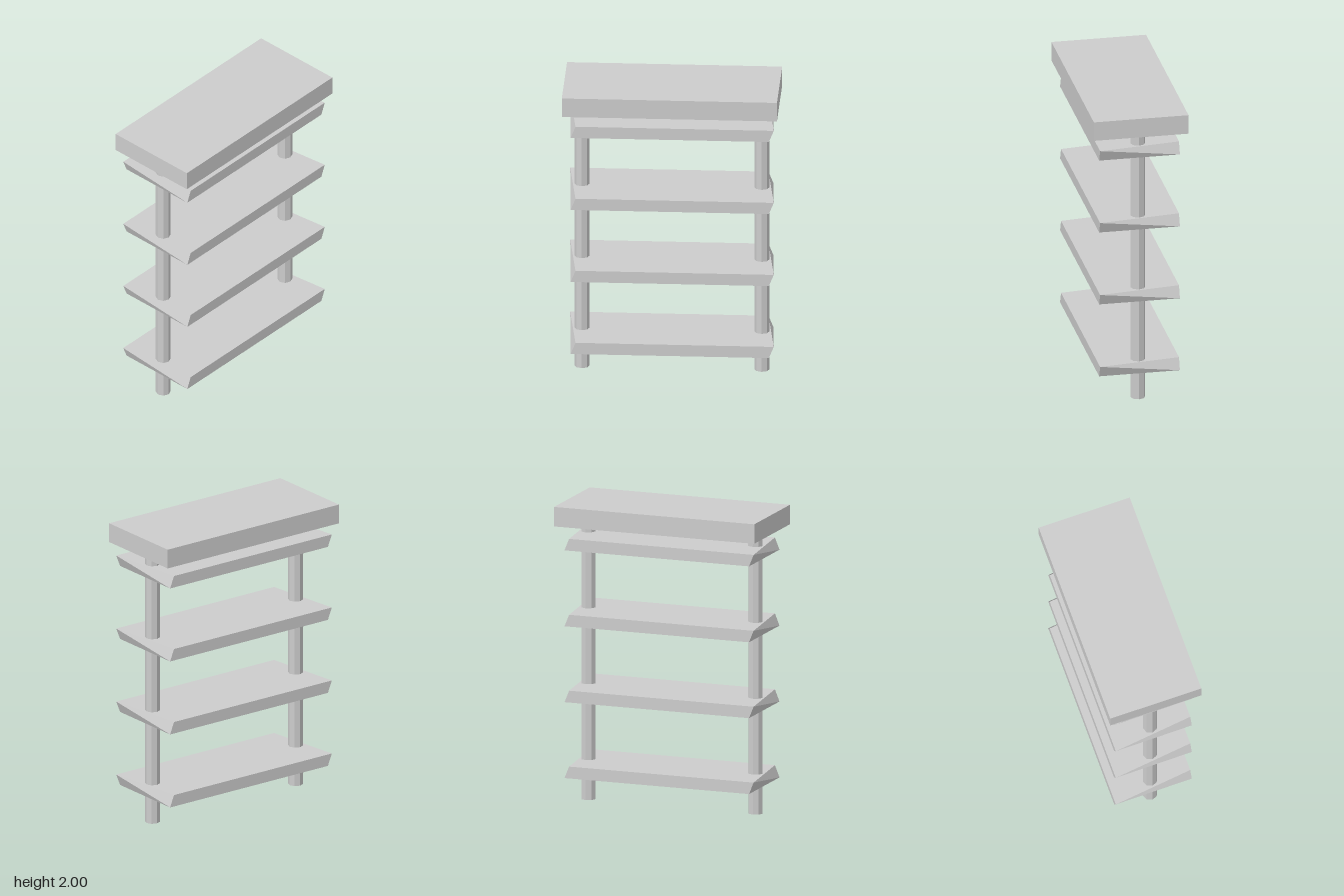
import * as THREE from 'three';

// Shelf board: a box whose top face is skewed sideways, giving folded ends.
function shelfGeometry(width, height, depth, skew) {
  const box = new THREE.BoxGeometry(width, height, depth);
  const pos = box.attributes.position;
  for (let i = 0; i < pos.count; i++) {
    if (pos.getY(i) > 0) pos.setX(i, pos.getX(i) + Math.sign(pos.getZ(i)) * skew);
  }
  // Fold both end faces along their other diagonal
  const index = Array.from(box.index.array);
  [0, 4].forEach((base, face) => {
    [0, 2, 3, 0, 3, 1].forEach((k, i) => { index[face * 6 + i] = base + k; });
  });
  box.setIndex(index);
  const flat = box.toNonIndexed();
  flat.computeVertexNormals();
  return flat;
}

export function createModel() {
  const model = new THREE.Group();
  model.name = 'shelfUnit';

  const grey = new THREE.MeshStandardMaterial({ color: 0xcccccc, flatShading: true });
  grey.name = 'light grey';

  function add(name, geometry, x, y) {
    const mesh = new THREE.Mesh(geometry, grey);
    mesh.name = name;
    mesh.position.set(x, y, 0);
    model.add(mesh);
  }

  // Thick top slab
  add('topSlab', new THREE.BoxGeometry(1.402, 0.13, 0.628), 0, 1.935);

  // Two eight-sided posts
  const postHeight = 1.87;
  const post = new THREE.CylinderGeometry(0.049, 0.049, postHeight, 8);
  add('leftPost', post, 0.586, postHeight / 2);
  add('rightPost', post, -0.586, postHeight / 2);

  // Four evenly spaced shelves
  const shelf = shelfGeometry(1.292, 0.079, 0.536, 0.032);
  for (let i = 0; i < 4; i++) add(`shelf${i + 1}`, shelf, 0, 0.227 + i * 0.506);

  return model;
}
